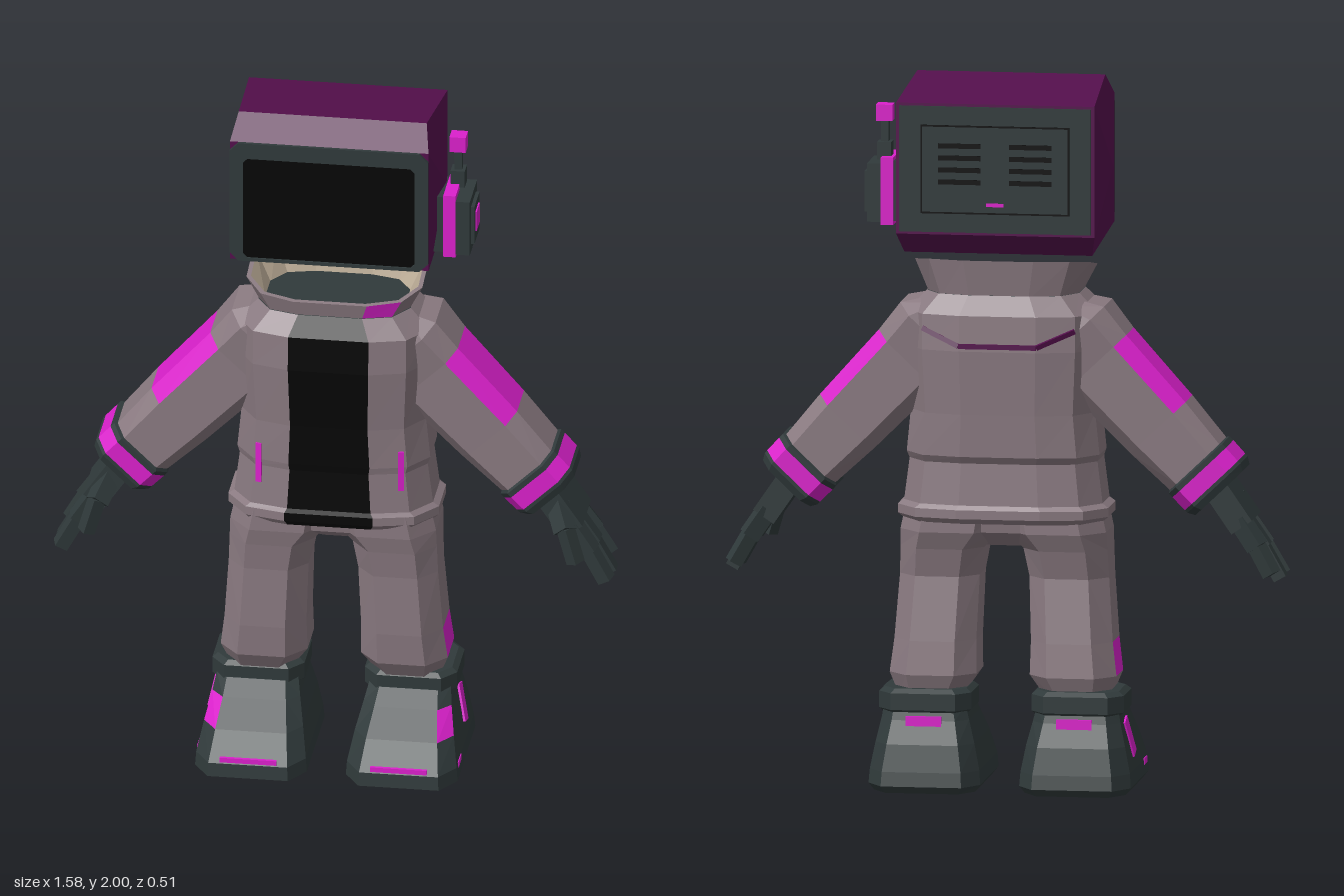
import * as THREE from 'three';

const V = (x, y, z) => new THREE.Vector3(x, y, z);
const mat = (name, color) => Object.assign(new THREE.MeshStandardMaterial({ color }), { name });
const cloth = mat('taupe cloth', 0x8a7a81);
const pink = mat('magenta trim', 0xdb20cc);
const purple = mat('dark purple shell', 0x540f4c);
const dark = mat('charcoal rubber', 0x303a3b);
const black = mat('black', 0x060606);
const lining = mat('beige lining', 0xc2b29c);

// Cross-section outlines as fractions of half width and half depth
const TORSO = [[.42, 1], [.8, .85], [1, .4], [1, -.4], [.8, -.85], [.4, -1],
  [-.4, -1], [-.8, -.85], [-1, -.4], [-1, .4], [-.8, .85], [-.42, 1]];
const octagon = (a, b) => [[a, 1], [1, b], [1, -b], [a, -1], [-a, -1], [-1, -b], [-1, b], [-a, 1]];

// One horizontal ring between two x and two z limits
const ring = (sec, y, x0, x1, zb, zf) => sec.map(([u, w]) =>
  V((x0 + x1) / 2 + u * (x1 - x0) / 2, y, (zf + zb) / 2 + w * (zf - zb) / 2));

// Flat-shaded skin over rings; matAt(i, j) picks the colour of each facet
function loft(name, rings, matAt, ends = {}) {
  const buckets = new Map();
  const tri = (m, ...p) => {
    if (!buckets.has(m)) buckets.set(m, []);
    p.forEach(v => buckets.get(m).push(v.x, v.y, v.z));
  };
  const n = rings[0].length;
  for (let i = 0; i < rings.length - 1; i++) for (let j = 0; j < n; j++) {
    const k = (j + 1) % n, a = rings[i], b = rings[i + 1], m = matAt(i, j);
    tri(m, a[j], a[k], b[k]);
    tri(m, a[j], b[k], b[j]);
  }
  const cap = (r, m, flip, tip) => {
    const c = tip || r.reduce((s, v) => s.add(v), V(0, 0, 0)).divideScalar(n);
    r.forEach((v, j) => flip ? tri(m, c, r[(j + 1) % n], v) : tri(m, c, v, r[(j + 1) % n]));
  };
  if (ends.bottom) cap(rings[0], ends.bottom, true, ends.bottomTip);
  if (ends.top) cap(rings[rings.length - 1], ends.top, false, ends.topTip);
  const geo = new THREE.BufferGeometry(), pos = [], mats = [];
  buckets.forEach((p, m) => {
    geo.addGroup(pos.length / 3, p.length / 3, mats.length);
    mats.push(m);
    for (const v of p) pos.push(v);
  });
  geo.setAttribute('position', new THREE.Float32BufferAttribute(pos, 3));
  geo.computeVertexNormals();
  return named(new THREE.Mesh(geo, mats.length > 1 ? mats : mats[0]), name);
}

function named(o, name) { o.name = name; return o; }

function box(name, m, w, h, d, x, y, z) {
  const b = named(new THREE.Mesh(new THREE.BoxGeometry(w, h, d), m), name);
  b.position.set(x, y, z);
  return b;
}

// Box bar stretched between two points
function bar(name, m, p, q, t, d) {
  const dir = q.clone().sub(p), c = p.clone().add(q).multiplyScalar(.5);
  const b = box(name, m, t, dir.length(), d, c.x, c.y, c.z);
  b.quaternion.setFromUnitVectors(V(0, 1, 0), dir.normalize());
  return b;
}

// Mirrored copy across x with corrected facing
function mirrored(src, name) {
  const out = named(new THREE.Group(), name);
  src.updateMatrixWorld(true);
  src.traverse(o => {
    if (!o.isMesh) return;
    const g = o.geometry.index ? o.geometry.toNonIndexed() : o.geometry.clone();
    g.applyMatrix4(o.matrixWorld);
    const p = g.attributes.position;
    for (let i = 0; i < p.count; i += 3) {
      const t = [0, 2, 1].map(k => V(-p.getX(i + k), p.getY(i + k), p.getZ(i + k)));
      t.forEach((v, k) => p.setXYZ(i + k, v.x, v.y, v.z));
    }
    g.computeVertexNormals();
    out.add(named(new THREE.Mesh(g, o.material), o.name));
  });
  return out;
}

function makeHead() {
  const g = named(new THREE.Group(), 'head');
  // Shell: side outline (half width, y, z) with gently peaked sides
  const prof = [[.265, 2, .055], [.28, 1.94, .125], [.28, 1.575, .125],
    [.265, 1.525, -.19], [.28, 1.585, -.25], [.28, 1.955, -.25]];
  const side = s => prof.map(([x, y, z]) => V(s * x, y, z));
  g.add(loft('headShell', [side(-1), side(1)], () => purple,
    { bottom: purple, top: purple, bottomTip: V(-.305, 1.76, -.06), topTip: V(.305, 1.76, -.06) }));
  // Screen frame with opening
  const poly = (C, w, y0, y1, c) => new C([[-w + c, y0], [w - c, y0], [w, y0 + c], [w, y1 - c],
    [w - c, y1], [-w + c, y1], [-w, y1 - c], [-w, y0 + c]].map(p => new THREE.Vector2(...p)));
  const frame = poly(THREE.Shape, .28, 1.575, 1.94, .025);
  frame.holes.push(poly(THREE.Path, .242, 1.585, 1.893, .012));
  const f = named(new THREE.Mesh(new THREE.ExtrudeGeometry(frame, { depth: .01, bevelEnabled: false }), dark), 'screenFrame');
  f.position.z = .125;
  g.add(f, box('screen', black, .49, .315, .006, 0, 1.739, .127));
  // Back panel with vents
  g.add(box('backPanel', dark, .54, .355, .008, 0, 1.77, -.252),
    box('backInsetEdge', black, .42, .25, .002, 0, 1.77, -.2565),
    box('backInset', dark, .41, .24, .004, 0, 1.77, -.257),
    box('backLight', pink, .05, .01, .003, 0, 1.672, -.259));
  for (const x of [-.1, .1]) for (let i = 0; i < 4; i++)
    g.add(box('backVent', black, .12, .014, .003, x, 1.735 + i * .034, -.259));
  // Side radio with antenna
  g.add(box('radioMount', dark, .04, .17, .13, .3, 1.68, -.025),
    box('radioTrim', pink, .035, .19, .15, .328, 1.68, -.025),
    box('radioBody', dark, .04, .165, .145, .365, 1.675, -.025),
    box('radioCap', dark, .012, .115, .1, .389, 1.675, -.025),
    box('radioButton', pink, .006, .06, .06, .396, 1.68, -.022),
    box('antennaBase', dark, .04, .05, .045, .34, 1.79, -.05),
    box('antennaRod', dark, .022, .08, .022, .34, 1.845, -.05),
    box('antennaTip', pink, .046, .046, .046, .34, 1.897, -.05));
  return g;
}

function makeJacket() {
  const g = named(new THREE.Group(), 'jacket');
  const rows = [[.76, .28, .13, -.19], [.775, .297, .14, -.205], [.8, .297, .14, -.205], [.812, .28, .135, -.195],
    [.93, .265, .13, -.187], [.95, .272, .133, -.2], [1.07, .26, .135, -.205], [1.25, .27, .15, -.217],
    [1.35, .27, .145, -.212], [1.405, .215, .11, -.185]];
  const rings = rows.map(([y, w, f, b]) => ring(TORSO, y, -w, w, b, f));
  g.add(loft('jacketBody', rings, (i, j) => j === 11 ? black : cloth, { bottom: cloth, top: dark }));
  // Flared collar, lower at the front, with a lining
  const top = w => ring(TORSO, 1.49, -w, w, -.198 + (.248 - w), .117 - (.248 - w))
    .map(v => v.setY(1.465 - v.z * .18 + Math.abs(v.x) * .04));
  const base = ring(TORSO, 1.395, -.208, .208, -.182, .105);
  const inner = ring(TORSO, 1.4, -.195, .195, -.17, .093);
  g.add(loft('collar', [base, top(.248)], (i, j) => j === 0 ? pink : cloth));
  g.add(loft('collarRim', [top(.248), top(.236)], () => cloth));
  g.add(loft('collarLining', [top(.236), inner], () => lining));
  // Pocket piping
  for (const s of [-1, 1]) {
    const p = box('pocketPiping', pink, .016, .12, .009, s * .2, .94, .112);
    p.rotation.y = s * .25;
    g.add(p);
  }
  // Yoke seam across the back
  const seam = [V(-.215, 1.31, -.188), V(-.11, 1.265, -.217), V(.11, 1.265, -.217), V(.215, 1.31, -.188)];
  for (let i = 0; i < 3; i++) g.add(bar('yokeSeam', purple, seam[i], seam[i + 1], .014, .008));
  return g;
}

function makeArm() {
  const g = named(new THREE.Group(), 'leftArm');
  // Sleeve rows run from the wrist to the shoulder: y, half thickness, half depth
  const rows = [[0, .092, .108], [.02, .103, .117], [.03, .103, .117], [.08, .104, .118], [.095, .104, .118],
    [.1, .096, .11], [.25, .107, .112], [.5, .115, .118], [.6, .125, .13], [.68, .07, .1]];
  const sec = octagon(.65, .6);
  const rings = rows.map(([y, a, b]) => ring(sec, y, -a, a, -b, b));
  const sleeve = loft('sleeve', rings, (i, j) =>
    i === 2 || (i === 6 && j < 3) ? pink : i < 5 ? dark : cloth, { bottom: lining, top: cloth });
  sleeve.position.set(.61, .85, -.042);
  sleeve.rotation.z = .76;
  g.add(sleeve);
  // Glove
  g.add(bar('palm', dark, V(.575, .9, -.03), V(.675, .755, -.03), .07, .17));
  for (const [z, dz, r] of [[-.09, -.02, .9], [-.03, 0, 1.03], [.03, .012, 1]]) {
    const k = V(.665, .775, z), m = V(.665 + .058 * r, .775 - .085 * r, z + dz / 2), t = V(.665 + .105 * r, .775 - .168 * r, z + dz);
    g.add(bar('fingerBase', dark, k, m, .048, .045), bar('fingerTip', dark, m, t, .038, .04));
  }
  g.add(bar('thumbBase', dark, V(.63, .83, .03), V(.66, .77, .085), .045, .05),
    bar('thumbTip', dark, V(.66, .78, .083), V(.69, .68, .092), .036, .038));
  return g;
}

function makeLeg() {
  const g = named(new THREE.Group(), 'leftLeg');
  const skin = (name, sec, rows, matAt, ends) => g.add(loft(name, rows.map(r => ring(sec, ...r)), matAt, ends));
  // Trouser leg with an outer ankle patch
  skin('trouserLeg', octagon(.55, .5), [[.26, .12, .295, -.14, .05], [.325, .075, .32, -.165, .09], [.42, .077, .308, -.155, .098],
    [.6, .07, .295, -.13, .1], [.68, .055, .292, -.15, .11], [.73, .01, .29, -.17, .12], [.8, 0, .275, -.17, .12]],
  (i, j) => i === 1 && j === 1 ? pink : cloth, { bottom: cloth, top: cloth });
  // Boot with coloured outer toe corner
  skin('boot', octagon(.72, .72), [[0, .07, .355, -.22, .2], [.02, .055, .37, -.235, .25], [.06, .058, .367, -.228, .247],
    [.135, .073, .352, -.21, .185], [.2, .09, .337, -.182, .11], [.24, .1, .33, -.17, .065]],
  (i, j) => i === 3 && j === 0 ? pink : dark, { bottom: dark, top: dark });
  skin('bootCuff', octagon(.7, .6), [[.215, .1, .33, -.17, .05], [.228, .085, .345, -.18, .063], [.275, .085, .345, -.18, .063],
    [.287, .1, .33, -.165, .05]], () => dark, { bottom: dark, top: dark });
  g.add(box('toeStripe', pink, .16, .014, .009, .212, .07, .241),
    box('toeSideMark', pink, .008, .018, .055, .365, .055, .125),
    bar('bootSidePatch', pink, V(.361, .1, -.04), V(.339, .2, -.07), .008, .05),
    box('heelWindow', pink, .1, .035, .009, .212, .195, -.184));
  return g;
}

export function createModel() {
  const model = named(new THREE.Group(), 'screenHeadedFigure');
  const arm = makeArm(), leg = makeLeg();
  model.add(makeHead(), makeJacket(), arm, mirrored(arm, 'rightArm'), leg, mirrored(leg, 'rightLeg'));
  model.add(loft('pelvis', [[.685, .07, .03], [.73, .15, .1], [.8, .26, .11]]
    .map(([y, w, f]) => ring(TORSO, y, -w, w, -f - .05, f)), () => cloth, { bottom: cloth, top: cloth }));
  return model;
}
